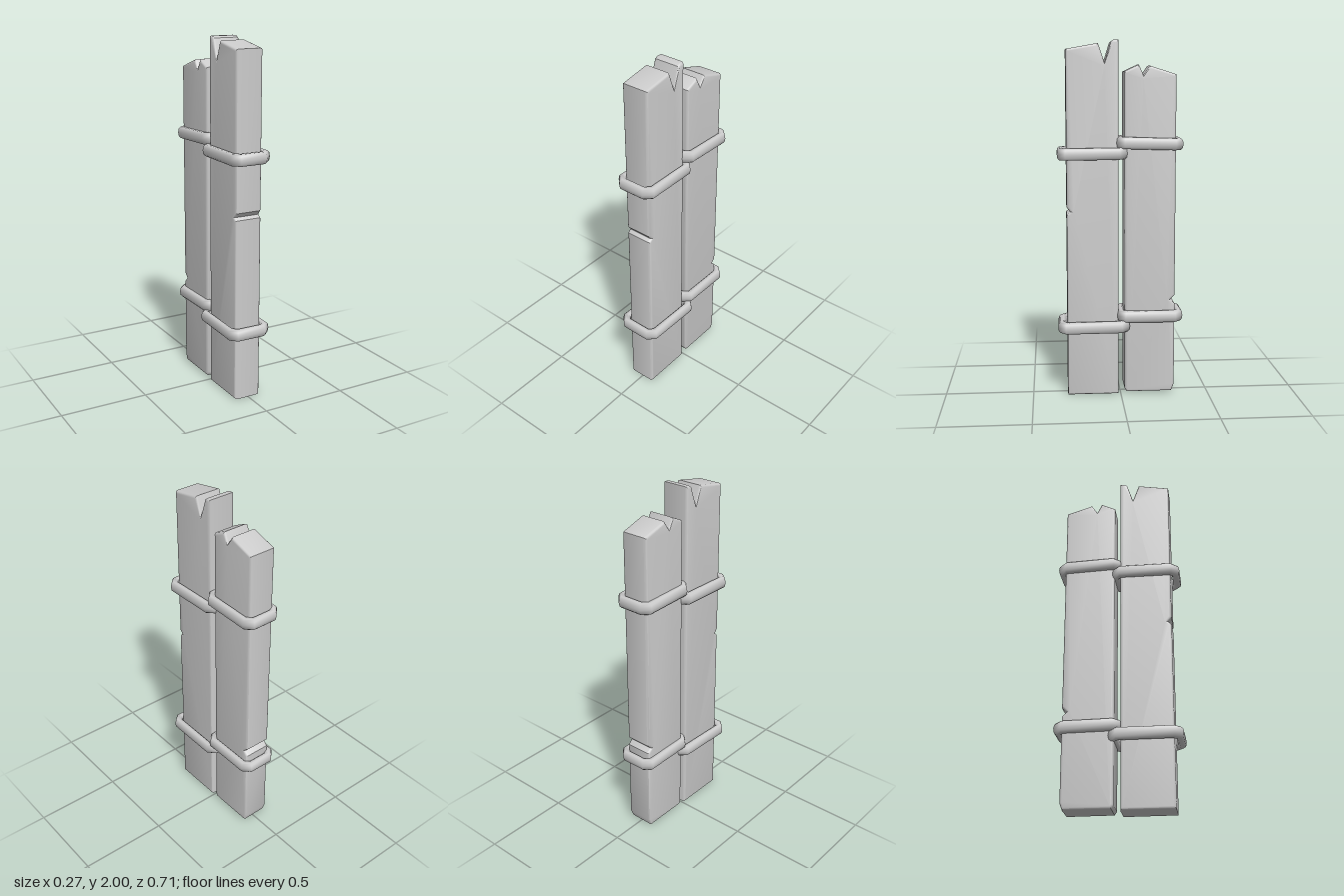
import * as THREE from 'three';
import { toCreasedNormals } from 'three/addons/utils/BufferGeometryUtils.js';

const material = new THREE.MeshStandardMaterial({ color: 0xcccccc });

// Worn plank: side outline given as [z, y], extruded across x with softened edges
function plank(name, outline) {
  const width = 0.16, bevel = 0.014;
  const shape = new THREE.Shape(outline.map(([z, y]) => new THREE.Vector2(z, y)));
  const geo = new THREE.ExtrudeGeometry(shape, {
    depth: width - 2 * bevel, bevelEnabled: true, bevelThickness: bevel,
    bevelSize: bevel, bevelOffset: -bevel, bevelSegments: 3,
  });
  geo.translate(0, 0, -(width / 2 - bevel));
  geo.rotateY(-Math.PI / 2);
  geo.translate(-0.005, 0, 0);
  const mesh = new THREE.Mesh(toCreasedNormals(geo, 0.6), material);
  mesh.name = name;
  return mesh;
}

// Binding: oval cross-section swept round a rectangle with cut corners
function binding(name, { x = 0, y, zMin, zMax, halfWidth, tilt = 0, turn = 0, thick = 0.023 }) {
  const sides = 10, high = 0.034, positions = [], index = [];
  for (let s = 0; s < sides; s++) {
    const t = (s / sides) * Math.PI * 2;
    const squash = (v) => Math.sign(v) * Math.abs(v) ** 0.8;
    const out = thick * squash(Math.cos(t)), up = high * squash(Math.sin(t));
    const a = halfWidth - thick + out;
    const b = (zMax - zMin) / 2 - thick + out;
    const c = 0.03 + 0.586 * out;
    const ring = [[a, b - c], [a - c, b], [c - a, b], [-a, b - c],
      [-a, c - b], [c - a, -b], [a - c, -b], [a, c - b]];
    for (const [px, pz] of ring) positions.push(px, up, pz);
  }
  for (let s = 0; s < sides; s++) {
    for (let i = 0; i < 8; i++) {
      const j = (i + 1) % 8, n = (s + 1) % sides;
      const p = s * 8 + i, q = s * 8 + j, r = n * 8 + j, u = n * 8 + i;
      index.push(p, u, q, q, u, r);
    }
  }
  const geo = new THREE.BufferGeometry();
  geo.setAttribute('position', new THREE.Float32BufferAttribute(positions, 3));
  geo.setIndex(index);
  geo.computeVertexNormals();
  const mesh = new THREE.Mesh(geo, material);
  mesh.name = name;
  mesh.position.set(x, y, (zMin + zMax) / 2);
  mesh.rotation.set(tilt, turn, 0);
  return mesh;
}

export function createModel() {
  const group = new THREE.Group();
  group.name = 'boundPlanks';

  // Tall front plank with a split top and a chip in its front edge
  group.add(plank('frontPlank', [
    [0.012, 0], [0.302, 0], [0.302, 1.045], [0.283, 1.06], [0.302, 1.085],
    [0.302, 1.95], [0.125, 1.982], [0.09, 1.88], [0.055, 1.99], [0.04, 2], [0.012, 2],
  ]));

  // Shorter back plank with a notched top and a chip low on its back edge
  group.add(plank('backPlank', [
    [-0.018, 1.83], [-0.098, 1.868], [-0.125, 1.812], [-0.158, 1.862], [-0.307, 1.815],
    [-0.307, 0.575], [-0.282, 0.55], [-0.307, 0.525], [-0.307, 0.05], [-0.292, 0.01],
    [-0.035, 0.01], [-0.022, 0.03],
  ]));

  // Two bindings round each plank
  group.add(
    binding('frontLowerBinding', { x: -0.003, y: 0.403, zMin: -0.052, zMax: 0.354, halfWidth: 0.13, turn: -0.02, tilt: 0.01 }),
    binding('frontUpperBinding', { x: -0.003, y: 1.382, zMin: -0.036, zMax: 0.354, halfWidth: 0.122, tilt: 0.01 }),
    binding('backLowerBinding', { y: 0.46, zMin: -0.352, zMax: 0.02, halfWidth: 0.117, tilt: -0.01 }),
    binding('backUpperBinding', { y: 1.438, zMin: -0.348, zMax: 0.025, halfWidth: 0.118, tilt: -0.03 }),
  );
  return group;
}
